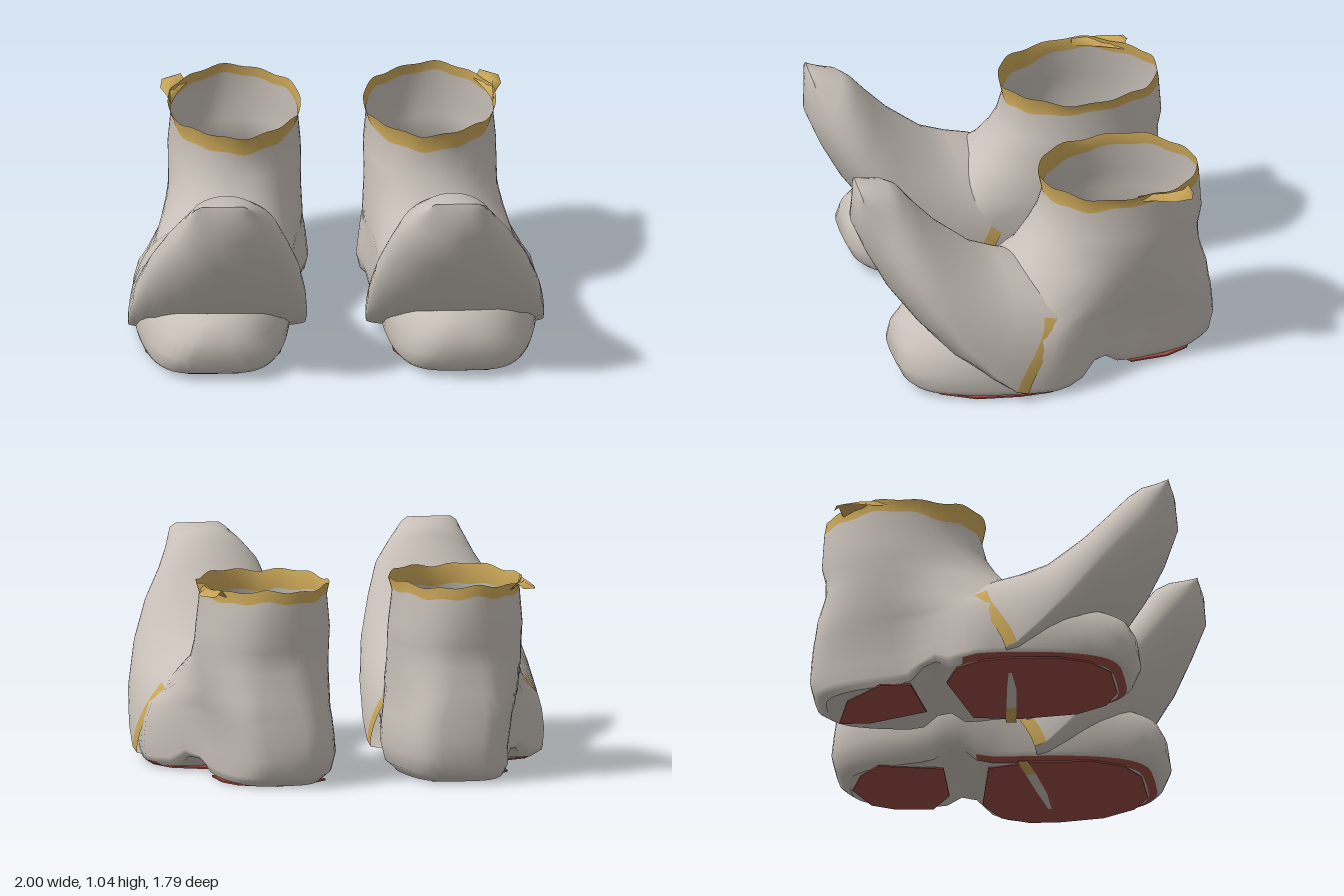
import * as THREE from 'three';

const material = (name, color) => Object.assign(
  new THREE.MeshStandardMaterial({ color, side: THREE.DoubleSide }), { name });

const lerp = THREE.MathUtils.lerp;
const smooth = THREE.MathUtils.smoothstep;
const TURN = Math.PI * 2;
const GREY = 0, RED = 1, GOLD = 2;

// Skins rows of [x, y, z] points; paint(row, column, corner) picks the material index.
function loft(rows, closed, paint) {
  const n = rows[0].length;
  const faces = [[], [], []];
  for (let r = 0; r < rows.length - 1; r++) {
    for (let c = 0; c < (closed ? n : n - 1); c++) {
      const d = (c + 1) % n;
      const a = r * n + c, b = r * n + d, e = a + n, f = b + n;
      faces[paint(r, c, rows[r][c])].push(a, e, b, b, e, f);
    }
  }
  const geo = new THREE.BufferGeometry();
  geo.setAttribute('position', new THREE.Float32BufferAttribute(rows.flat(2), 3));
  geo.setIndex(faces.flat());
  let start = 0;
  faces.forEach((list, i) => {
    if (list.length) geo.addGroup(start, list.length, i);
    start += list.length;
  });
  geo.computeVertexNormals();
  return geo;
}

// Mirrors a geometry in x and turns its faces back outward.
function mirrored(geo) {
  const copy = geo.clone().scale(-1, 1, 1);
  const idx = copy.index.array;
  for (let i = 0; i < idx.length; i += 3) [idx[i], idx[i + 1]] = [idx[i + 1], idx[i]];
  copy.computeVertexNormals();
  return copy;
}

// Boot outlines from sole to rim:
// y, back z, front z, heel x range, foot x range, roundness of back and front
const OUTLINES = [
  [0.004, -0.81, 0.61, 0.17, 0.72, 0.25, 0.93, 0.55, 0.5],
  [0.025, -0.84, 0.65, 0.15, 0.73, 0.22, 0.97, 0.55, 0.5],
  [0.05, -0.87, 0.68, 0.12, 0.74, 0.21, 0.975, 0.55, 0.5],
  [0.13, -0.89, 0.72, 0.10, 0.74, 0.20, 0.98, 0.55, 0.55],
  [0.22, -0.88, 0.71, 0.11, 0.75, 0.19, 0.97, 0.5, 0.75],
  [0.30, -0.87, 0.67, 0.12, 0.76, 0.19, 0.95, 0.5, 1.0],
  [0.34, -0.86, 0.58, 0.13, 0.77, 0.19, 0.92, 0.5, 1.1],
  [0.42, -0.85, 0.30, 0.14, 0.78, 0.18, 0.88, 0.6, 0.7],
  [0.55, -0.81, 0.10, 0.15, 0.79, 0.18, 0.81, 0.7, 0.8],
  [0.65, -0.81, 0.02, 0.15, 0.79, 0.16, 0.79, 0.8, 0.9],
  [0.73, -0.83, -0.03, 0.15, 0.79, 0.15, 0.79, 0.9, 0.9],
  [0.89, -0.82, -0.06, 0.165, 0.775, 0.165, 0.775, 1, 1],
  [0.945, -0.81, -0.04, 0.15, 0.79, 0.15, 0.79, 1, 1],
];
const N = 64;

function outline([y, z0, z1, hl, hr, fl, fr, pb, pf]) {
  const ring = [];
  for (let k = 0; k < N; k++) {
    const a = k / N * TURN, s = Math.sin(a);
    const u = (1 - Math.cos(a)) / 2;
    const z = lerp(z0, z1, u);
    const t = smooth(z, -0.42, 0.02);
    const l = lerp(hl, fl, t), r = lerp(hr, fr, t);
    const x = (l + r) / 2 + (r - l) / 2 * Math.sign(s) * Math.abs(s) ** (u < 0.5 ? pb : pf);
    // raised arch under the instep, wavy rim with its trim deeper at the front
    const arch = 0.085 * Math.exp(-(((z + 0.27) / 0.07) ** 2)) * Math.max(0, 1 - y / 0.2);
    const wave = y > 0.8 ? 0.007 * Math.sin(a * 5 + 1) + 0.006 * Math.sin(a * 11) : 0;
    const dip = y > 0.8 && y < 0.92 ? 0.04 * smooth(u, 0.55, 0.9) : 0;
    ring.push([x, y + arch + wave - dip, z]);
  }
  return ring;
}

// Body: red welt around the forefoot, gold trim at the rim
function bodyGeometry() {
  const last = OUTLINES.length - 2;
  return loft(OUTLINES.map(outline), true, (r, c, p) =>
    r === last ? GOLD : r === 0 && p[2] > -0.12 ? RED : GREY);
}

// Floor: strips across the lowest outline
function floorGeometry() {
  const ring = outline(OUTLINES[0]);
  const rows = [];
  for (let k = 0; k <= N / 2; k++) {
    const a = ring[k], b = ring[(N - k) % N];
    rows.push([0, 0.5, 1].map(t => [lerp(a[0], b[0], t), a[1], a[2]]));
  }
  return loft(rows, false, () => GREY);
}

// Red sole patches as [x, z] corners; the two heels differ slightly
const FORE_PATCH = [[0.29, -0.12], [0.70, -0.20], [0.86, -0.13], [0.93, 0], [0.94, 0.15], [0.92, 0.36],
  [0.84, 0.52], [0.72, 0.60], [0.48, 0.60], [0.35, 0.53], [0.27, 0.38], [0.25, 0.1]];
const HEEL_PATCH = {
  left: [[0.20, -0.64], [0.30, -0.74], [0.46, -0.80], [0.64, -0.73], [0.70, -0.62], [0.72, -0.44],
    [0.58, -0.345], [0.27, -0.335]],
  right: [[-0.71, -0.52], [-0.55, -0.70], [-0.30, -0.77], [-0.29, -0.62], [-0.385, -0.335], [-0.70, -0.375]],
};

function patchGeometry(corners) {
  const shape = new THREE.Shape(corners.map(([x, z]) => new THREE.Vector2(x, z)));
  return new THREE.ExtrudeGeometry(shape, { depth: 0.008, bevelEnabled: false })
    .rotateX(Math.PI / 2).translate(0, 0.008, 0);
}

// Thin strap crossing under the forefoot, gold at its inner end
function underStrapGeometry() {
  const rows = [[0.78, 0.11, 0.125], [0.6, 0.08, 0.125], [0.38, 0.05, 0.10], [0.25, 0.03, 0.08], [0.22, 0.03, 0.08]]
    .map(([x, z0, z1]) => [[x, -0.002, z0], [x, -0.002, z1]]);
  return loft(rows, false, r => r > 1 ? GOLD : GREY);
}

// Upturned flap: lower z, y; upper z, y; x range; height of widest point; backward bend
const FLAP = [
  [0.125, 0.02, 0.06, 0.54, 0.15, 0.99, 0.04, 0.125],
  [0.185, 0.03, 0.12, 0.56, 0.145, 1.00, 0.06, 0.12],
  [0.30, 0.08, 0.18, 0.575, 0.14, 1.00, 0.15, 0.05],
  [0.48, 0.19, 0.28, 0.61, 0.15, 0.98, 0.3, 0],
  [0.62, 0.34, 0.46, 0.75, 0.18, 0.93, 0.4, 0],
  [0.74, 0.50, 0.58, 0.88, 0.23, 0.86, 0.45, 0],
  [0.83, 0.67, 0.66, 0.98, 0.28, 0.78, 0.45, 0],
  [0.90, 0.84, 0.72, 1.02, 0.36, 0.73, 0.5, 0],
  [0.885, 0.99, 0.85, 1.035, 0.43, 0.70, 0.5, 0],
  [0.87, 1.035, 0.87, 1.035, 0.46, 0.67, 0.5, 0],
];
const M = 60;

function flapGeometry() {
  const rows = FLAP.map(([lz, ly, uz, uy, l, r, mid, bend]) => {
    const row = [];
    for (let k = 0; k < M; k++) {
      const a = -k / M * TURN, c = Math.cos(a), s = Math.sin(a);
      const v = s > 0 ? mid + (1 - mid) * s : mid * (1 - Math.abs(s));
      row.push([
        (l + r) / 2 + (r - l) / 2 * Math.sign(c) * Math.abs(c) ** 1.05,
        lerp(ly, uy, v),
        lerp(lz, uz, v) - bend * Math.sin(Math.PI * v ** 1.7),
      ]);
    }
    return row;
  });
  // gold piping on both sides of the open edge
  return loft(rows, true, (r, c, p) => r === 0 && p[1] < 0.41 && c >= M / 2 - 1 ? GOLD : GREY);
}

// Pull tab: small bent sheet on the outside of the rim
function tabGeometry() {
  const rows = [
    [0.69, -0.70, 0.75, -0.74], [0.71, -0.66, 0.81, -0.72], [0.735, -0.60, 0.82, -0.63],
    [0.76, -0.52, 0.79, -0.54], [0.775, -0.46, 0.78, -0.46],
  ].map(([ax, az, bx, bz]) => [[bx, 0.92, bz], [(ax + bx) / 2, 0.95, (az + bz) / 2], [ax, 0.91, az]]);
  return loft(rows, false, () => GOLD);
}

export function createModel() {
  const model = new THREE.Group();
  model.name = 'bootPair';
  const materials = [
    material('grey leather', 0xc8c0b8),
    material('red sole', 0x984a42),
    material('gold trim', 0xc9a658),
  ];
  const parts = {
    bootBody: bodyGeometry(),
    floor: floorGeometry(),
    underStrap: underStrapGeometry(),
    upturnedFlap: flapGeometry(),
    pullTab: tabGeometry(),
  };
  for (const side of ['left', 'right']) {
    const boot = new THREE.Group();
    boot.name = side + 'Boot';
    const add = (name, geo, mat) => {
      const mesh = new THREE.Mesh(geo, mat);
      mesh.name = name;
      boot.add(mesh);
    };
    for (const [name, geo] of Object.entries(parts)) {
      add(name, side === 'left' ? geo : mirrored(geo), materials);
    }
    const sign = side === 'left' ? 1 : -1;
    add('foreSole', patchGeometry(FORE_PATCH.map(([x, z]) => [x * sign, z])), materials[RED]);
    add('heelSole', patchGeometry(HEEL_PATCH[side]), materials[RED]);
    model.add(boot);
  }
  return model;
}
